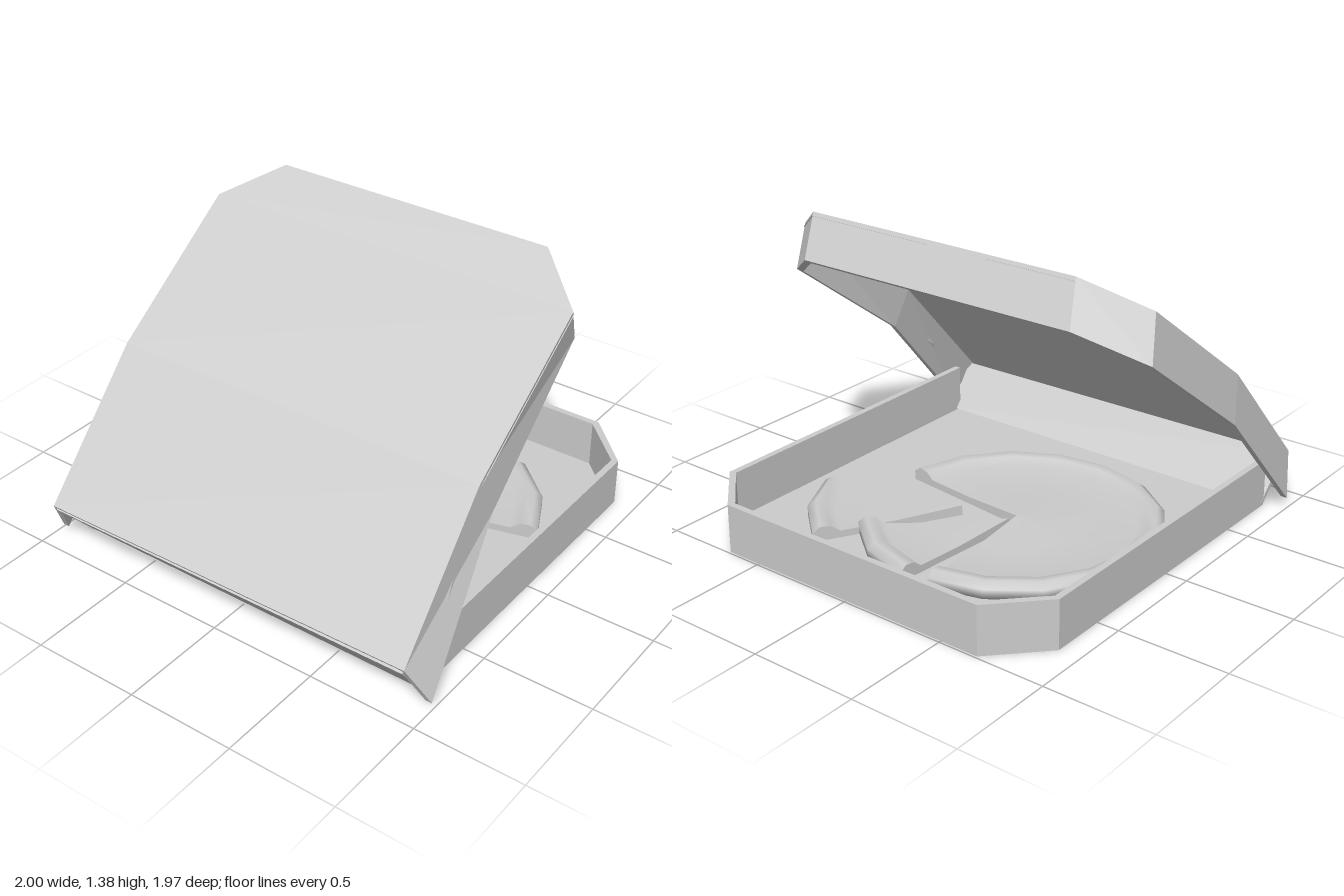
import * as THREE from 'three';

const material = new THREE.MeshStandardMaterial({ color: 0xcccccc, flatShading: true, side: THREE.DoubleSide });
const smooth = new THREE.MeshStandardMaterial({ color: 0xcccccc, side: THREE.DoubleSide });

// Flat-sided surface from a list of four-cornered faces
function quads(name, faces) {
  const pos = [];
  for (const [a, b, c, d] of faces) pos.push(...a, ...b, ...c, ...a, ...c, ...d);
  const g = new THREE.BufferGeometry();
  g.setAttribute('position', new THREE.Float32BufferAttribute(pos, 3));
  g.computeVertexNormals();
  const m = new THREE.Mesh(g, material);
  m.name = name;
  return m;
}

// Thick open wall between four matching rows of points
function wall(name, lowOut, highOut, highIn, lowIn) {
  const rows = [lowOut, highOut, highIn, lowIn];
  const faces = [];
  const n = lowOut.length;
  for (let i = 0; i < n - 1; i++) {
    rows.forEach((r, k) => {
      const s = rows[(k + 1) % 4];
      faces.push([r[i], r[i + 1], s[i + 1], s[i]]);
    });
  }
  for (const i of [0, n - 1]) faces.push(rows.map(r => r[i]));
  return quads(name, faces);
}

const shift = (p, x, y, z) => [p[0] + x, p[1] + y, p[2] + z];

// Wedge of pizza; angles run clockwise from the back, seen from above
function pizza(name, x, z, from, to, radius = 0.66) {
  const a0 = THREE.MathUtils.degToRad(from), a1 = THREE.MathUtils.degToRad(to);
  const steps = Math.max(2, Math.round((to - from) / 22.5));
  const profile = [[0, 0.05], [0.45, 0.035], [0.82, 0.035], [0.88, 0.065], [0.95, 0.07], [1, 0.045], [1, 0.002], [0, 0.002]]
    .map(([r, y]) => new THREE.Vector2(r * radius, y));
  const g = new THREE.Group();
  g.name = name;
  const body = new THREE.Mesh(new THREE.LatheGeometry(profile, steps, Math.PI - a1, a1 - a0), smooth);
  body.name = name + 'Top';
  g.add(body);
  // Cut sides
  for (const a of [a0, a1]) {
    const side = new THREE.Mesh(new THREE.ShapeGeometry(new THREE.Shape(profile)), material);
    side.rotation.y = Math.PI / 2 - a;
    side.name = name + 'Cut';
    g.add(side);
  }
  g.position.set(x, 0.004, z);
  return g;
}

export function createModel() {
  const model = new THREE.Group();
  model.name = 'openPizzaBox';

  // Tray: floor and chamfered wall, open at the hinge side
  const out = [[-0.9, 0.81], [-0.9, -0.76], [-0.68, -0.99], [0.67, -0.99], [0.9, -0.76], [0.9, 0.81]];
  const inn = [[-0.87, 0.81], [-0.87, -0.75], [-0.665, -0.96], [0.655, -0.96], [0.87, -0.75], [0.87, 0.81]];
  const at = (list, y) => list.map(([x, z]) => [x, y, z]);
  model.add(wall('trayWall', at(out, 0), at(out, 0.225), at(inn, 0.225), at(inn, 0)));
  const floorPts = at(out, 0.003);
  model.add(quads('trayFloor', [0, 1, 2].slice(0, 2).map(i =>
    [floorPts[i], floorPts[i + 1], floorPts[4 - i], floorPts[5 - i]])));

  // Leaning hinge panel joining tray and lid
  const hingeLow = [[-0.9, 0, 0.8], [0.9, 0, 0.8]];
  const hingeHigh = [[-0.91, 0.195, 0.975], [0.91, 0.195, 0.955]];
  model.add(wall('hingePanel', hingeLow, hingeHigh,
    hingeHigh.map(p => shift(p, 0, 0.01, -0.02)), hingeLow.map(p => shift(p, 0, 0.01, -0.02))));

  // Lid: bent top sheet, from left front round the far end to right front
  const top = [[-0.92, 0.213, 0.98], [-0.94, 0.77, 0.435], [-0.94, 1.24, -0.22], [-0.7, 1.38, -0.41],
    [0.66, 1.38, -0.41], [0.9, 1.24, -0.22], [0.9, 0.77, 0.435], [0.92, 0.215, 0.955]];
  const rim = [[-0.98, 0.03, 0.88], [-1, 0.59, 0.33], [-1, 1.06, -0.325], [-0.75, 1.2, -0.515],
    [0.62, 1.2, -0.515], [0.86, 1.06, -0.325], [0.905, 0.59, 0.33], [0.995, 0.03, 0.87]];
  const under = top.map(p => shift(p, 0, -0.016, -0.011));
  const sheet = [];
  for (const row of [top, under]) {
    for (let i = 0; i < 3; i++) sheet.push([row[i], row[i + 1], row[6 - i], row[7 - i]]);
  }
  sheet.push([top[0], top[7], under[7], under[0]]);
  model.add(quads('lidTop', sheet));

  // Lid walls, thick inwards
  const inward = (p, i) => {
    const far = i === 3 || i === 4;
    const corner = i === 2 || i === 5;
    const k = far ? 0.03 : corner ? 0.012 : 0;
    return shift(p, (i < 4 ? 1 : -1) * (far ? 0.012 : 0.03), -0.587 * k, 0.81 * k);
  };
  model.add(wall('lidWall', rim, top, under.map(inward), rim.map(inward)));

  // Pizza with two slices pulled out
  model.add(pizza('pizza', -0.15, -0.05, 97, 356));
  model.add(pizza('nearSlice', -0.14, -0.09, 5, 50));
  model.add(pizza('farSlice', 0.1, -0.12, 30, 75, 0.69));

  return model;
}
